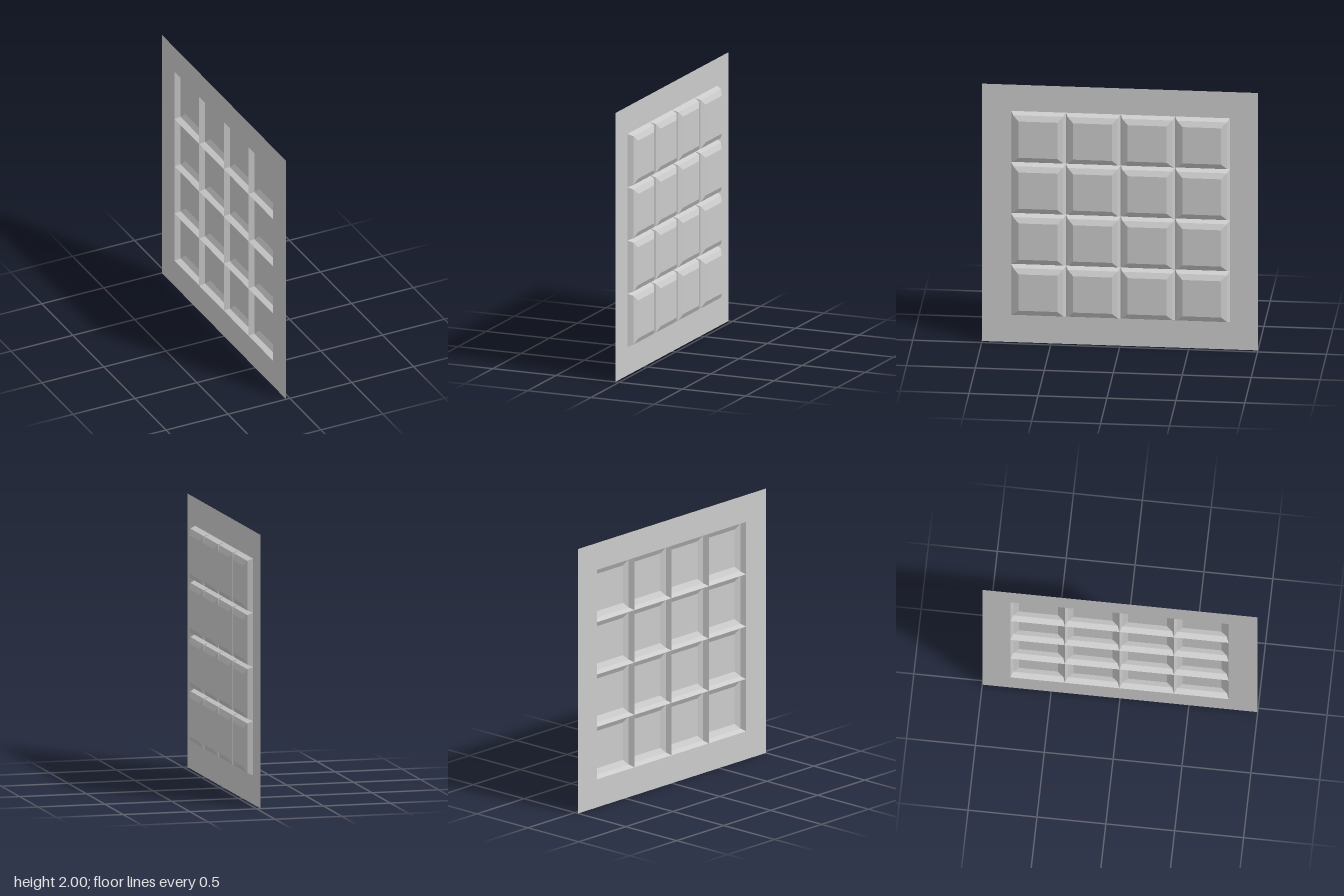
import * as THREE from 'three';
import { mergeGeometries } from 'three/addons/utils/BufferGeometryUtils.js';

const COUNT = 4, PITCH = 0.396;
const HALF = COUNT * PITCH / 2;          // half size of the panelled area
const CY = 1.004, CZ = -0.004;           // centre of the panelled area
const BACK = -0.03, FRONT = 0.03;        // sheet plane and raised faces

// Axis-aligned rectangle outline
function rect(path, cx, cy, h) {
  path.moveTo(cx - h, cy - h);
  path.lineTo(cx + h, cy - h);
  path.lineTo(cx + h, cy + h);
  path.lineTo(cx - h, cy + h);
  path.closePath();
  return path;
}

// Hollow bevelled square: four-sided lathe for the slopes, plane for the face
function panelGeometry() {
  const h = PITCH / 2;
  const profile = [[h, BACK], [h - 0.017, 0.01], [h - 0.057, FRONT]]
    .map(([r, y]) => new THREE.Vector2(r * Math.SQRT2, y));
  const sides = new THREE.LatheGeometry(profile, 4, Math.PI / 4);
  const size = 2 * (h - 0.057);
  const face = new THREE.PlaneGeometry(size, size);
  face.rotateX(-Math.PI / 2).translate(0, FRONT, 0);
  const g = mergeGeometries([sides.toNonIndexed(), face.toNonIndexed()]);
  g.rotateZ(-Math.PI / 2);
  g.computeVertexNormals();
  return g;
}

export function createModel() {
  const group = new THREE.Group();
  const material = new THREE.MeshStandardMaterial({
    color: 0xcccccc, flatShading: true, side: THREE.DoubleSide,
  });

  // Flat border sheet with a square opening
  const shape = rect(new THREE.Shape(), 0, 1, 1);
  shape.holes.push(rect(new THREE.Path(), -CZ, CY, HALF));
  const sheet = new THREE.ShapeGeometry(shape);
  sheet.rotateY(Math.PI / 2).translate(BACK, 0, 0);
  const border = new THREE.Mesh(sheet, material);
  border.name = 'borderSheet';
  group.add(border);

  // Grid of raised panels
  const panels = new THREE.Group();
  panels.name = 'raisedPanels';
  const geometry = panelGeometry();
  for (let row = 0; row < COUNT; row++) {
    for (let col = 0; col < COUNT; col++) {
      const panel = new THREE.Mesh(geometry, material);
      panel.name = `panel_${row + 1}_${col + 1}`;
      panel.position.set(0, CY - HALF + (row + 0.5) * PITCH, CZ - HALF + (col + 0.5) * PITCH);
      panels.add(panel);
    }
  }
  group.add(panels);
  return group;
}
